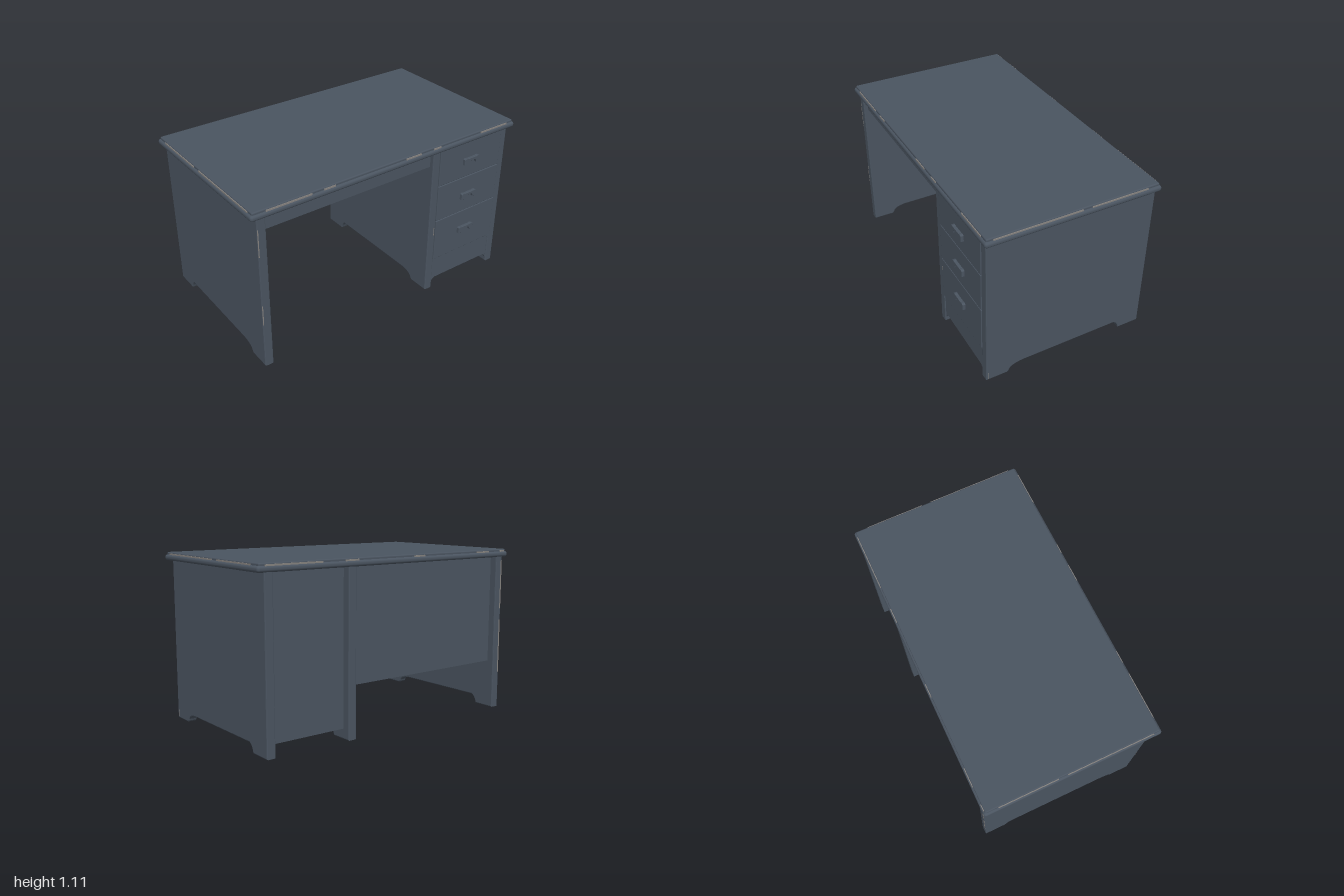
import * as THREE from 'three';
import { RoundedBoxGeometry } from 'three/addons/geometries/RoundedBoxGeometry.js';

export function createModel() {
  const desk = new THREE.Group();
  desk.name = 'desk';

  const paint = new THREE.MeshStandardMaterial({ color: 0x4a5460 });
  paint.name = 'slate paint';
  const worn = new THREE.MeshStandardMaterial({ color: 0x85827f });
  worn.name = 'worn edge';

  const add = (name, geometry, material = paint, parent = desk) => {
    const mesh = new THREE.Mesh(geometry, material);
    mesh.name = name;
    parent.add(mesh);
    return mesh;
  };

  // Box given by its limits on each axis
  const box = (name, [x0, x1], [y0, y1], [z0, z1], material = paint, radius = 0) => {
    const size = [x1 - x0, y1 - y0, z1 - z0];
    const geometry = radius
      ? new RoundedBoxGeometry(...size, 3, radius)
      : new THREE.BoxGeometry(...size);
    const mesh = add(name, geometry, material);
    mesh.position.set((x0 + x1) / 2, (y0 + y1) / 2, (z0 + z1) / 2);
    return mesh;
  };

  // Desktop: wide bullnose slab with a slightly smaller slab on top
  box('desktopBullnose', [-1, 1], [1.055, 1.093], [-0.574, 0.574], paint, 0.017);
  box('desktopSurface', [-0.986, 0.986], [1.07, 1.108], [-0.562, 0.562], paint, 0.008);

  // Side panels with an arched cut-out that leaves two feet
  const bevel = 0.006;
  const side = new THREE.Shape();
  side.moveTo(-0.559, 0.01);
  side.lineTo(-0.418, 0.01);
  side.quadraticCurveTo(-0.405, 0.055, -0.375, 0.068);
  side.lineTo(0.3, 0.064);
  side.quadraticCurveTo(0.39, 0.058, 0.4, 0.016);
  side.lineTo(0.41, 0.008);
  side.lineTo(0.543, 0.008);
  side.lineTo(0.543, 1.06);
  side.lineTo(-0.559, 1.06);
  side.closePath();
  const sidePanel = (name, x0, x1) => {
    const geometry = new THREE.ExtrudeGeometry(side, {
      depth: x1 - x0 - 2 * bevel, bevelEnabled: true,
      bevelSize: bevel, bevelThickness: bevel, bevelSegments: 2, curveSegments: 8,
    });
    geometry.rotateY(-Math.PI / 2);
    add(name, geometry).position.x = x1 - bevel;
  };
  sidePanel('rightSidePanel', -0.955, -0.897);
  sidePanel('innerSidePanel', 0.318, 0.376);
  sidePanel('leftSidePanel', 0.897, 0.955);

  // Kneehole: apron under the top at the front, modesty panel at the back
  box('apron', [-0.91, 0.33], [0.95, 1.07], [0.475, 0.52]);
  box('modestyPanel', [-0.91, 0.33], [0.33, 1.07], [-0.515, -0.48]);

  // Drawer cabinet body
  box('cabinetBody', [0.36, 0.91], [0.07, 1.07], [-0.515, 0.53]);

  // Plinth with bracket corners that meet the feet
  const plinth = new THREE.Shape();
  plinth.moveTo(0.365, 0.02);
  plinth.lineTo(0.372, 0.02);
  plinth.quadraticCurveTo(0.38, 0.064, 0.41, 0.07);
  plinth.lineTo(0.865, 0.066);
  plinth.quadraticCurveTo(0.893, 0.06, 0.902, 0.02);
  plinth.lineTo(0.91, 0.02);
  plinth.lineTo(0.91, 0.24);
  plinth.lineTo(0.365, 0.24);
  plinth.closePath();
  const plinthGeometry = new THREE.ExtrudeGeometry(plinth, { depth: 0.04, bevelEnabled: false });
  add('plinth', plinthGeometry).position.z = 0.502;

  // Drawer pull: a bar with two drooping ends
  const pull = new THREE.Shape();
  pull.moveTo(-0.062, -0.022);
  pull.lineTo(-0.036, -0.022);
  pull.quadraticCurveTo(-0.034, -0.002, -0.018, -0.001);
  pull.lineTo(0.018, -0.001);
  pull.quadraticCurveTo(0.034, -0.002, 0.036, -0.022);
  pull.lineTo(0.062, -0.022);
  pull.lineTo(0.062, 0.014);
  pull.quadraticCurveTo(0.05, 0.022, 0.036, 0.016);
  pull.lineTo(-0.036, 0.016);
  pull.quadraticCurveTo(-0.05, 0.022, -0.062, 0.014);
  pull.closePath();
  const pullGeometry = new THREE.ExtrudeGeometry(pull, {
    depth: 0.017, bevelEnabled: true, bevelSize: 0.002,
    bevelThickness: 0.004, bevelSegments: 2, curveSegments: 6,
  });

  // Three drawers: bottom edge, top edge and height of the pull
  const drawers = [[0.235, 0.538, 0.402], [0.541, 0.798, 0.664], [0.801, 1.06, 0.922]];
  drawers.forEach(([y0, y1, pullY], i) => {
    box(`drawerFront${i + 1}`, [0.374, 0.904], [y0, y1], [0.52, 0.555], paint, 0.004);
    add(`drawerPull${i + 1}`, pullGeometry).position.set(0.637, pullY, 0.553);
  });

  // Worn patches in the step around the desktop: [start, end] along each edge
  const stepY = [1.089, 1.1];
  [[-0.9, -0.6], [-0.52, -0.44], [0.08, 0.2], [0.3, 0.36], [0.7, 0.93]].forEach((span) =>
    box('frontEdgeWear', span, stepY, [0.56, 0.567], worn));
  [[-0.97, -0.93], [-0.82, -0.7], [-0.23, -0.14], [0.3, 0.4], [0.56, 0.95]].forEach((span) =>
    box('backEdgeWear', span, stepY, [-0.567, -0.56], worn));
  [[-0.48, -0.1], [-0.04, 0.52]].forEach((span) => {
    box('leftEdgeWear', [0.984, 0.991], stepY, span, worn);
    box('rightEdgeWear', [-0.991, -0.984], stepY, span, worn);
  });

  // Worn patches on the upright edges of the side panels
  box('leftPanelWear', [0.93, 0.9555], [0.01, 0.06], [0.534, 0.54], worn);
  box('innerPanelWear', [0.362, 0.366], [0.43, 0.49], [0.545, 0.5505], worn);
  [[0.32, 0.46], [0.8, 0.98]].forEach((span) =>
    box('rightPanelFrontWear', [-0.953, -0.947], span, [0.543, 0.5495], worn));
  [[0.25, 0.62], [0.7, 1.03]].forEach((span) =>
    box('rightPanelBackWear', [-0.952, -0.942], span, [-0.5655, -0.559], worn));

  return desk;
}
